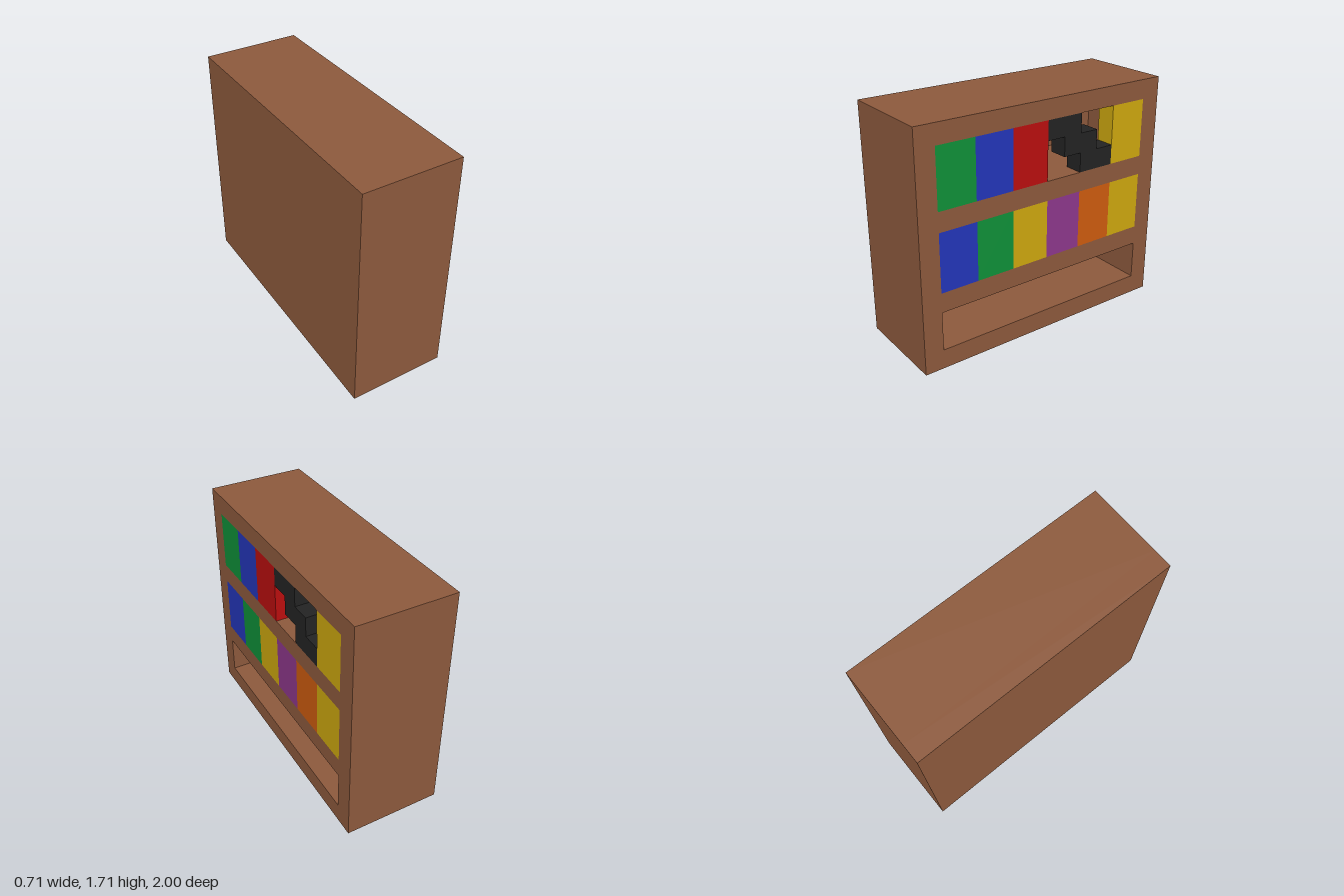
import * as THREE from 'three';

const U = 1 / 7; // one building unit

function material(name, color) {
  const m = new THREE.MeshStandardMaterial({ color });
  m.name = name;
  return m;
}

export function createModel() {
  const root = new THREE.Group();
  root.name = 'bookcase';
  const mats = {
    brown: material('brown wood', 0x8c593c),
    green: material('green', 0x0f8f38),
    blue: material('blue', 0x2335b8),
    red: material('red', 0xb80e0e),
    black: material('black', 0x232323),
    yellow: material('yellow', 0xcca60f),
    purple: material('purple', 0x8c378a),
    orange: material('orange', 0xcc5b0f),
  };

  function add(name, geometry, mat, parent = root) {
    const mesh = new THREE.Mesh(geometry, mat);
    mesh.name = name;
    parent.add(mesh);
    return mesh;
  }

  function rectangle(path, x0, y0, x1, y1) {
    path.moveTo(x0 * U, y0 * U);
    path.lineTo(x1 * U, y0 * U);
    path.lineTo(x1 * U, y1 * U);
    path.lineTo(x0 * U, y1 * U);
    path.closePath();
    return path;
  }

  // Frame with three compartments, open towards +x
  const outline = rectangle(new THREE.Shape(), -7, 0, 7, 12);
  for (const [y0, y1] of [[1, 3], [4, 7], [8, 11]]) {
    outline.holes.push(rectangle(new THREE.Path(), -6, y0, 6, y1));
  }
  const frame = new THREE.ExtrudeGeometry(outline, { depth: 4 * U, bevelEnabled: false });
  frame.rotateY(Math.PI / 2);
  add('shelfFrame', frame, mats.brown).position.x = -1.5 * U;

  // Back board
  add('backBoard', new THREE.BoxGeometry(U, 12 * U, 14 * U), mats.brown)
    .position.set(-2 * U, 6 * U, 0);

  // Upright books, listed from +z to -z; null leaves a gap
  const rows = [
    { name: 'upperBooks', y: 9.5, colours: ['green', 'blue', 'red', null, null, 'yellow'] },
    { name: 'lowerBooks', y: 5.5, colours: ['blue', 'green', 'yellow', 'purple', 'orange', 'yellow'] },
  ];
  for (const row of rows) {
    const group = new THREE.Group();
    group.name = row.name;
    root.add(group);
    row.colours.forEach((colour, i) => {
      if (!colour) return;
      add(colour + 'Book', new THREE.BoxGeometry(U, 3 * U, 2 * U), mats[colour], group)
        .position.set(2 * U, row.y * U, (5 - 2 * i) * U);
    });
  }

  // Leaning book built as three stepped blocks
  const leaning = new THREE.Group();
  leaning.name = 'leaningBook';
  root.add(leaning);
  for (let i = 0; i < 3; i++) {
    add('leaningBookStep', new THREE.BoxGeometry(U, U, 2 * U), mats.black, leaning)
      .position.set(2 * U, (10.5 - i) * U, (-1 - i) * U);
  }

  return root;
}
